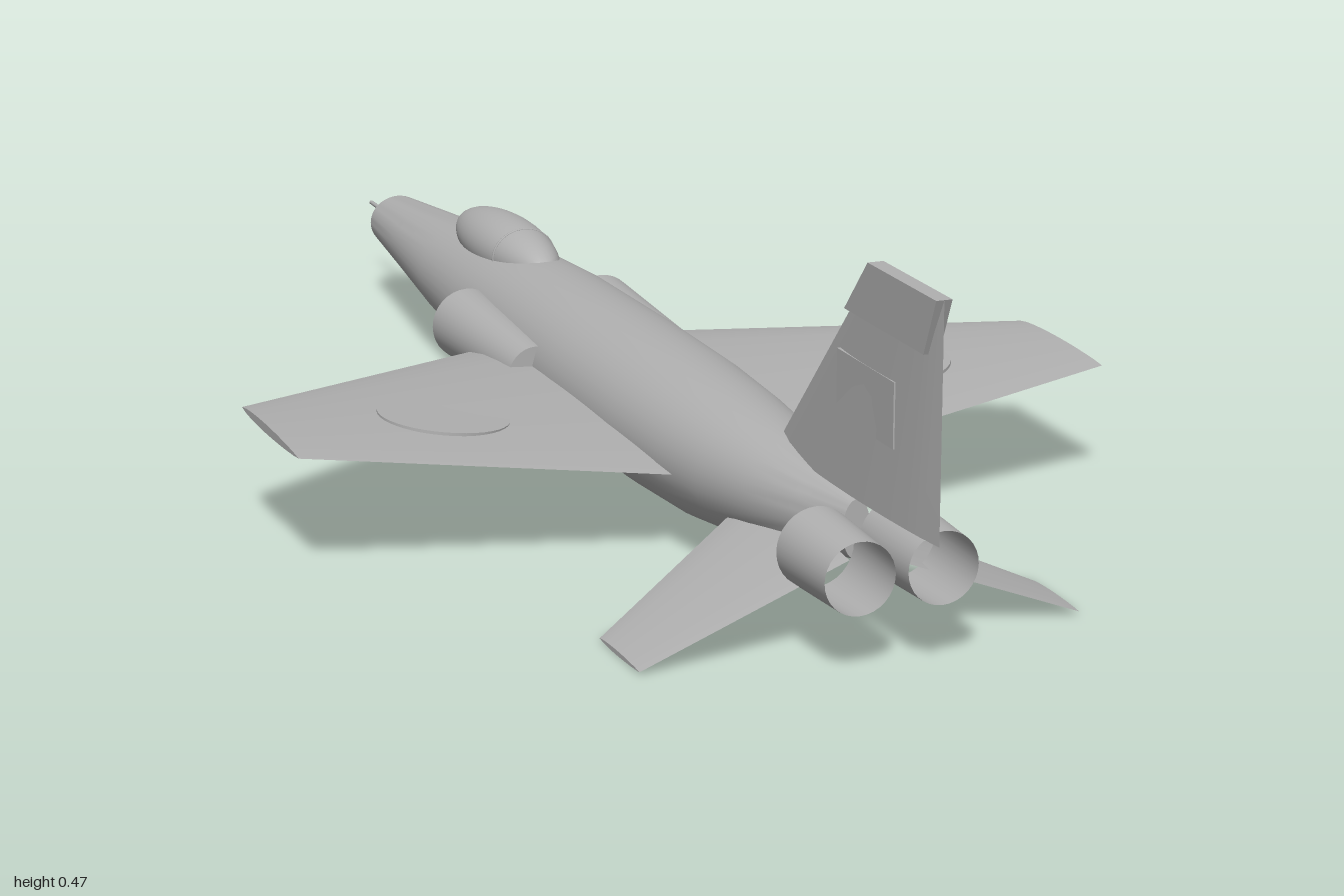
import * as THREE from 'three';
import { toCreasedNormals } from 'three/addons/utils/BufferGeometryUtils.js';

const grey = new THREE.MeshStandardMaterial({ color: 0xb0b0b0, side: THREE.DoubleSide });
grey.name = 'bare metal grey';

// Skin between closed rings of points, with optional flat end caps.
function loft(rings, capStart = true, capEnd = true) {
  const n = rings[0].length, pos = [], index = [];
  rings.forEach(r => r.forEach(p => pos.push(...p)));
  for (let i = 0; i < rings.length - 1; i++) {
    for (let j = 0; j < n; j++) {
      const a = i * n + j, b = i * n + (j + 1) % n;
      index.push(a, b, a + n, b, b + n, a + n);
    }
  }
  const cap = (base, flip) => {
    for (let j = 1; j < n - 1; j++) {
      index.push(base, ...(flip ? [base + j + 1, base + j] : [base + j, base + j + 1]));
    }
  };
  if (capStart) cap(0, true);
  if (capEnd) cap((rings.length - 1) * n, false);
  const g = new THREE.BufferGeometry();
  g.setAttribute('position', new THREE.Float32BufferAttribute(pos, 3));
  g.setIndex(index);
  return toCreasedNormals(g, 0.6);
}

// Elliptical cross-section: z, half width, bottom y, top y.
function ellipse([z, rx, y0, y1], n = 40) {
  return Array.from({ length: n }, (_, i) => {
    const a = (i / n) * Math.PI * 2;
    return [rx * Math.cos(a), (y0 + y1) / 2 + ((y1 - y0) / 2) * Math.sin(a), z];
  });
}

// Thin lens-shaped section: x, y, leading z, trailing z, half thickness.
function foil([x, y, z0, z1, h], upright = false, n = 12) {
  const pts = [];
  for (let i = 0; i < 2 * n; i++) {
    const t = i <= n ? i / n : (2 * n - i) / n;
    const s = i <= n ? 1 : -1;
    const d = s * h * Math.pow(Math.max(0, Math.sin(Math.PI * Math.pow(t, 0.8))), 0.7);
    pts.push([upright ? x + d : x, upright ? y : y + d, z0 + (z1 - z0) * t]);
  }
  return pts;
}

function add(parent, name, geometry, x = 0, y = 0, z = 0) {
  const m = new THREE.Mesh(geometry, grey);
  m.name = name;
  m.position.set(x, y, z);
  parent.add(m);
  return m;
}

// Cylinder along z; rFront is the radius at the nose (-z) end.
function tube(rFront, rBack, length, sides = 32, open = false) {
  return new THREE.CylinderGeometry(rBack, rFront, length, sides, 1, open).rotateX(Math.PI / 2);
}

function makeMissile() {
  const g = new THREE.Group();
  g.name = 'missile';
  add(g, 'missileBody', tube(0.008, 0.008, 0.25, 14), 0, 0, 0.065);
  add(g, 'missileNose', tube(0, 0.008, 0.04, 14), 0, 0, -0.08);
  for (const [z, len, span] of [[0.175, 0.025, 0.042], [-0.03, 0.02, 0.03]]) {
    add(g, 'missileFin', new THREE.BoxGeometry(span, 0.003, len), 0, 0, z);
    add(g, 'missileFin', new THREE.BoxGeometry(0.003, span, len), 0, 0, z);
  }
  add(g, 'missileRail', new THREE.BoxGeometry(0.006, 0.024, 0.14), 0, 0.012, 0.07);
  return g;
}

// Everything that appears once on each side of the aircraft.
function makeSide(name) {
  const g = new THREE.Group();
  g.name = name;
  add(g, 'wing', loft([foil([0.05, 0.11, -0.22, 0.447, 0.019]), foil([0.55, 0.164, 0.12, 0.355, 0.006])]));
  add(g, 'tailplane', loft([foil([0.02, 0.109, 0.525, 0.805, 0.006]), foil([0.285, 0.006, 0.68, 0.805, 0.003])]));

  // round panel lying on the wing
  const disc = add(g, 'wingPanel', new THREE.CylinderGeometry(0.085, 0.085, 0.004, 40), 0.31, 0.1485, 0.205);
  disc.rotation.z = Math.atan2(0.054, 0.5);

  // side air intake, open in front
  add(g, 'sideIntake', tube(0.05, 0.038, 0.27, 32, true), 0.1, 0.121, -0.155);
  add(g, 'intakeRearWall', new THREE.CircleGeometry(0.038, 32), 0.1, 0.121, -0.02);

  // exhaust nozzle with open ends
  add(g, 'nozzle', tube(0.05, 0.045, 0.125, 32, true), 0.053, 0.122, 0.843);

  const missile = makeMissile();
  missile.position.set(0.277, 0.106, 0);
  g.add(missile);
  return g;
}

export function createModel() {
  const model = new THREE.Group();
  model.name = 'jetAircraft';

  // fuselage, open at the nose
  const sections = [
    [-0.875, 0.043, 0.083, 0.16], [-0.72, 0.061, 0.07, 0.174], [-0.55, 0.08, 0.053, 0.189],
    [-0.38, 0.094, 0.037, 0.204], [-0.2, 0.101, 0.026, 0.214], [0.05, 0.107, 0.025, 0.215],
    [0.25, 0.106, 0.026, 0.214], [0.4, 0.098, 0.032, 0.209], [0.5, 0.087, 0.044, 0.203],
    [0.6, 0.07, 0.064, 0.195], [0.7, 0.045, 0.085, 0.184], [0.78, 0.018, 0.1, 0.174],
  ];
  add(model, 'fuselage', loft(sections.map(s => ellipse(s)), false, true));
  add(model, 'noseCone', tube(0, 0.045, 0.1, 32), 0, 0.121, -0.825);
  add(model, 'noseProbe', tube(0.003, 0.004, 0.17, 10), 0, 0.121, -0.915);

  // canopy with its rear frame
  add(model, 'canopy', new THREE.SphereGeometry(1, 36, 24), 0, 0.197, -0.395).scale.set(0.05, 0.044, 0.165);
  add(model, 'canopyFrame', new THREE.TorusGeometry(1, 0.03, 8, 40), 0, 0.197, -0.33).scale.set(0.046, 0.0405, 0.08);

  // upright tail fin, its cap and side panel
  add(model, 'tailFin', loft([foil([0, 0.183, 0.555, 1, 0.014], true), foil([0, 0.47, 0.82, 1, 0.008], true)]));
  const capShape = new THREE.Shape([[0.758, 0.402], [0.82, 0.472], [1, 0.472], [0.97, 0.402]]
    .map(([z, y]) => new THREE.Vector2(-z, y)));
  const cap = new THREE.ExtrudeGeometry(capShape, { depth: 0.02, bevelEnabled: false });
  cap.translate(0, 0, -0.01).rotateY(Math.PI / 2);
  add(model, 'tailFinCap', cap);
  add(model, 'tailFinPanel', new THREE.BoxGeometry(0.022, 0.08, 0.155), 0, 0.31, 0.82);

  // left and mirrored right sides
  model.add(makeSide('leftSide'));
  const right = makeSide('rightSide');
  right.scale.x = -1;
  model.add(right);
  return model;
}
